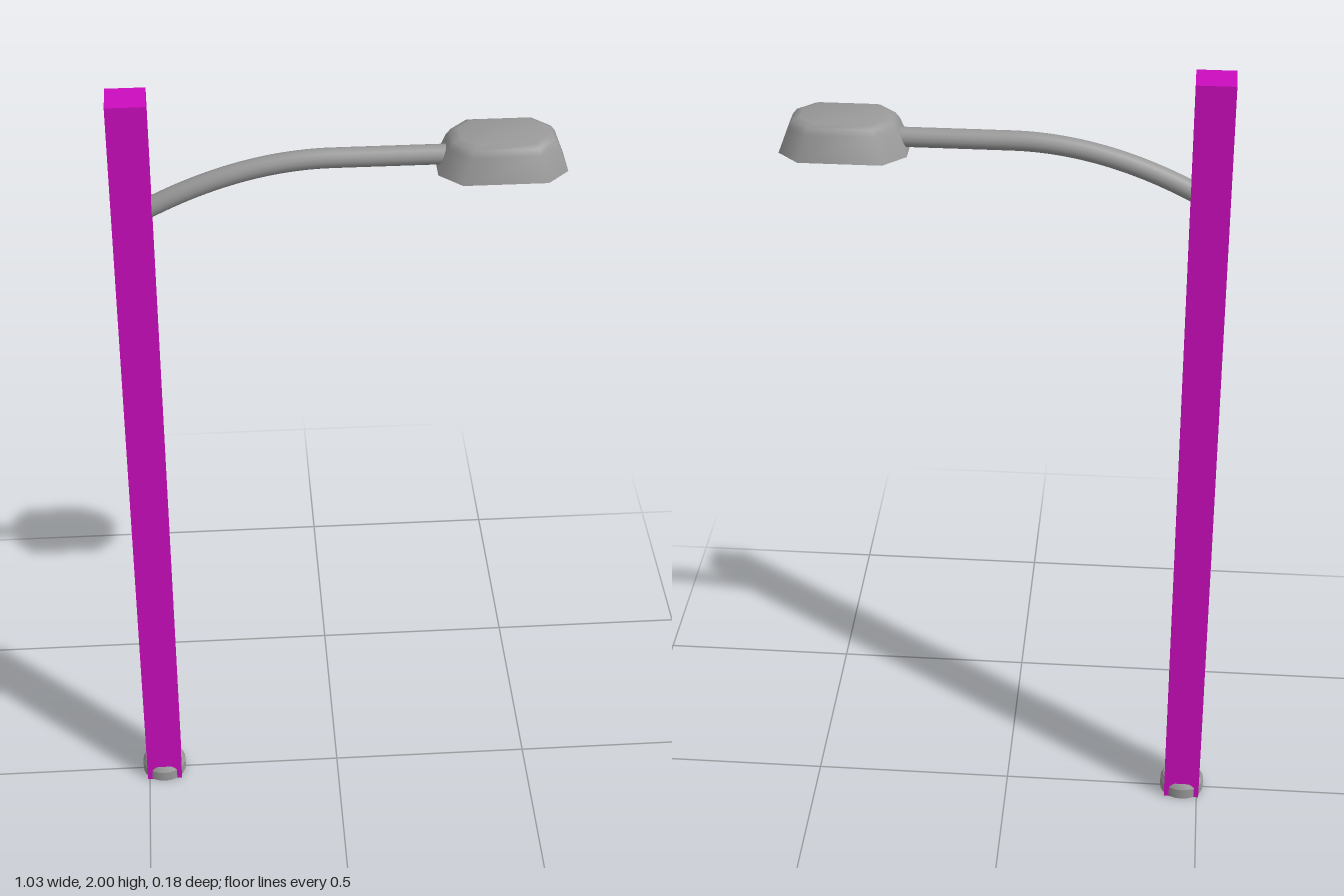
import * as THREE from 'three';
import { toCreasedNormals } from 'three/addons/utils/BufferGeometryUtils.js';

const POLE_X = -0.46;

// Lofts chamfered-rectangle rings [halfX, halfZ, chamfer, y] into one surface
function loftOctagons(rings) {
  const positions = [], index = [];
  for (const [hx, hz, c, y] of rings) {
    const corners = [
      [hx, -hz + c], [hx, hz - c], [hx - c, hz], [-hx + c, hz],
      [-hx, hz - c], [-hx, -hz + c], [-hx + c, -hz], [hx - c, -hz],
    ];
    for (const [x, z] of corners) positions.push(x, y, z);
  }
  for (let r = 0; r < rings.length - 1; r++) {
    for (let i = 0; i < 8; i++) {
      const a = r * 8 + i, b = r * 8 + (i + 1) % 8;
      index.push(a, a + 8, b, b, a + 8, b + 8);
    }
  }
  const geometry = new THREE.BufferGeometry();
  geometry.setAttribute('position', new THREE.Float32BufferAttribute(positions, 3));
  geometry.setIndex(index);
  return toCreasedNormals(geometry, 0.9);
}

export function createModel() {
  const magenta = new THREE.MeshStandardMaterial({ color: 0xcc0cbe });
  magenta.name = 'magenta';
  const grey = new THREE.MeshStandardMaterial({ color: 0x999999 });
  grey.name = 'grey';

  const model = new THREE.Group();
  model.name = 'streetLamp';
  const add = (name, geometry, material, x = 0, y = 0) => {
    const mesh = new THREE.Mesh(geometry, material);
    mesh.name = name;
    mesh.position.set(x, y, 0);
    model.add(mesh);
  };

  // Square post
  add('post', new THREE.BoxGeometry(0.09, 2, 0.09), magenta, POLE_X, 1);

  // Round foot with a bevelled rim, its sides showing past the post faces
  const footProfile = [[0, 0.002], [0.056, 0.002], [0.056, 0.03], [0.049, 0.042], [0, 0.042]]
    .map(([r, y]) => new THREE.Vector2(r, y));
  add('foot', toCreasedNormals(new THREE.LatheGeometry(footProfile, 24), 0.5), grey, POLE_X);

  // Arm: curved rise, then a straight run into the lamp head
  const path = new THREE.CurvePath();
  path.add(new THREE.QuadraticBezierCurve3(
    new THREE.Vector3(-0.44, 1.714, 0),
    new THREE.Vector3(-0.22, 1.835, 0),
    new THREE.Vector3(-0.01, 1.835, 0)));
  path.add(new THREE.LineCurve3(
    new THREE.Vector3(-0.01, 1.835, 0),
    new THREE.Vector3(0.25, 1.835, 0)));
  add('arm', new THREE.TubeGeometry(path, 36, 0.023, 14, false), grey);

  // Lamp head: recessed underside, rim, sloping sides and softened top
  add('lampHead', loftOctagons([
    [0, 0, 0, 1.83],
    [0.108, 0.058, 0.036, 1.83],
    [0.116, 0.066, 0.04, 1.805],
    [0.145, 0.092, 0.05, 1.805],
    [0.122, 0.079, 0.045, 1.866],
    [0.112, 0.072, 0.04, 1.88],
    [0.096, 0.06, 0.034, 1.886],
    [0, 0, 0, 1.886],
  ]), grey, 0.367);

  return model;
}
